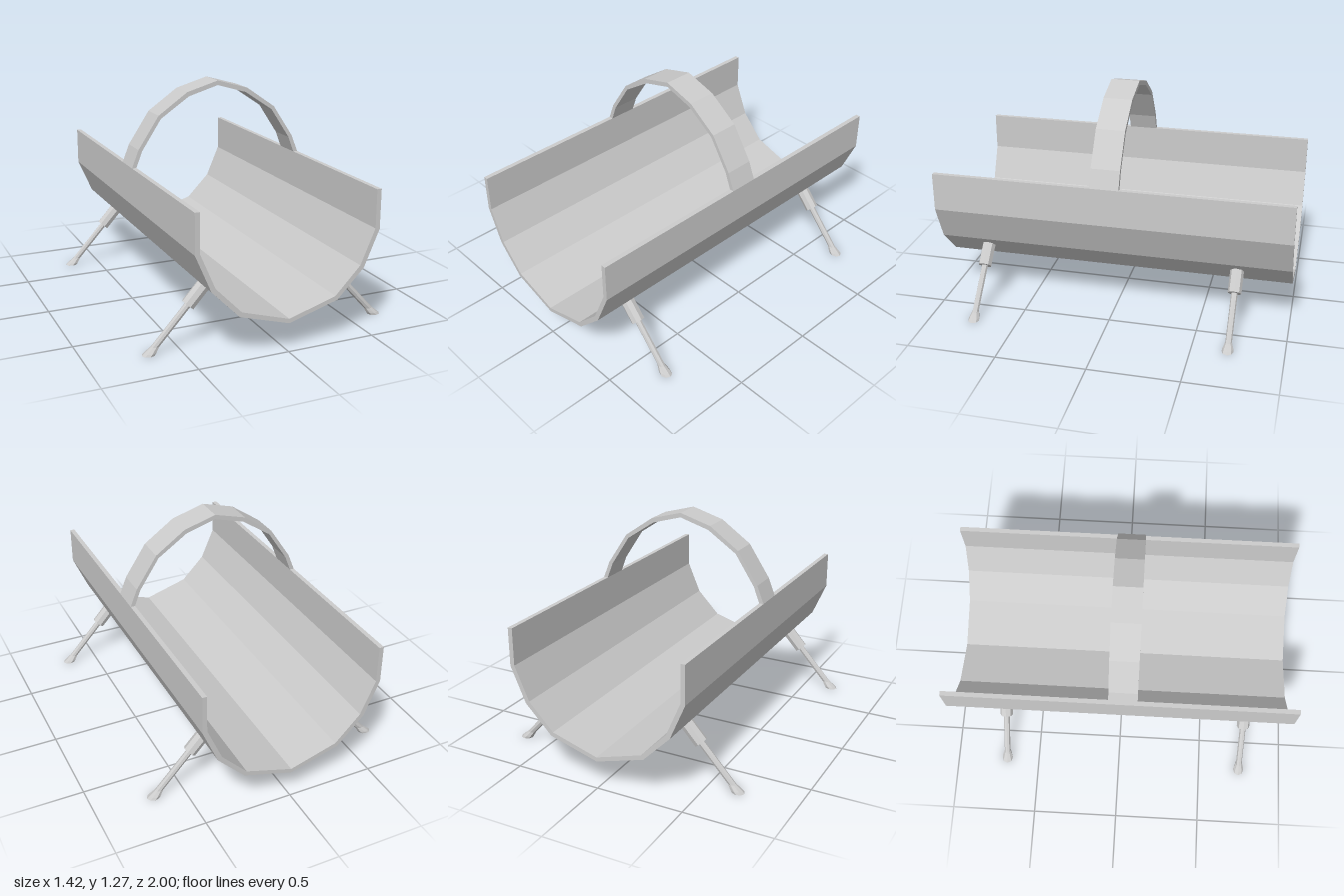
import * as THREE from 'three';

const material = new THREE.MeshStandardMaterial({ color: 0xcccccc, flatShading: true });

// Right half of a profile, from the side edge to the centre line
const troughOuter = [[0.518, 0.81], [0.518, 0.595], [0.432, 0.395], [0.279, 0.24], [0, 0.158]];
const troughInner = [[0.492, 0.81], [0.492, 0.6], [0.41, 0.41], [0.267, 0.263], [0, 0.182]];
const hoopOuter = [[0.518, 0.81], [0.478, 0.91], [0.357, 1.093], [0.185, 1.213], [0, 1.266]];
const hoopInner = [[0.492, 0.81], [0.457, 0.901], [0.343, 1.075], [0.174, 1.189], [0, 1.24]];

function addMesh(parent, geometry, name) {
  const mesh = new THREE.Mesh(geometry, material);
  mesh.name = name;
  parent.add(mesh);
  return mesh;
}

// Mirror both half profiles into a closed band and extrude it along z
function band(outer, inner, z0, z1) {
  const across = (half) => [...half, ...half.slice(0, -1).reverse().map(([x, y]) => [-x, y])];
  const outline = [...across(outer), ...across(inner).reverse()];
  const shape = new THREE.Shape(outline.map(([x, y]) => new THREE.Vector2(x, y)));
  const geometry = new THREE.ExtrudeGeometry(shape, { depth: z1 - z0, bevelEnabled: false });
  return geometry.translate(0, 0, z0);
}

// Splayed leg: socket on the trough wall, slim rod, flared foot cut flat on the ground
function leg(side, z) {
  const group = new THREE.Group();
  const top = new THREE.Vector3(side * 0.365, 0.337, 0);
  const end = new THREE.Vector3(side * 0.455, 0.238, 0);
  const axis = top.clone().sub(end);
  const socket = addMesh(group, new THREE.CylinderGeometry(0.038, 0.038, axis.length(), 8), 'legSocket');
  socket.position.copy(top).add(end).multiplyScalar(0.5);
  socket.quaternion.setFromUnitVectors(new THREE.Vector3(0, 1, 0), axis.normalize());

  const profile = [[0, 0], [0.032, 0], [0.03, 0.012], [0.018, 0.04], [0.018, 0.27], [0, 0.27]];
  const rod = new THREE.LatheGeometry(profile.map(([x, y]) => new THREE.Vector2(x, y)), 8);
  const p = rod.attributes.position;
  // Level rings slide inward with height, which leans the rod
  for (let i = 0; i < p.count; i++) {
    const stretch = p.getY(i) < 0.02 ? 1.13 : 1.38;
    p.setX(i, p.getX(i) * stretch + side * (0.672 - 0.912 * p.getY(i)));
  }
  rod.computeVertexNormals();
  addMesh(group, rod, 'legRod');
  group.position.z = z;
  return group;
}

export function createModel() {
  const model = new THREE.Group();
  model.name = 'cradle';
  addMesh(model, band(troughOuter, troughInner, -1, 1), 'trough');
  addMesh(model, band(hoopOuter, hoopInner, -0.062, 0.1), 'handleHoop');
  for (const [sideName, side] of [['Left', 1], ['Right', -1]]) {
    for (const [endName, z] of [['front', 0.748], ['back', -0.697]]) {
      const part = leg(side, z);
      part.name = `${endName}${sideName}Leg`;
      model.add(part);
    }
  }
  return model;
}
